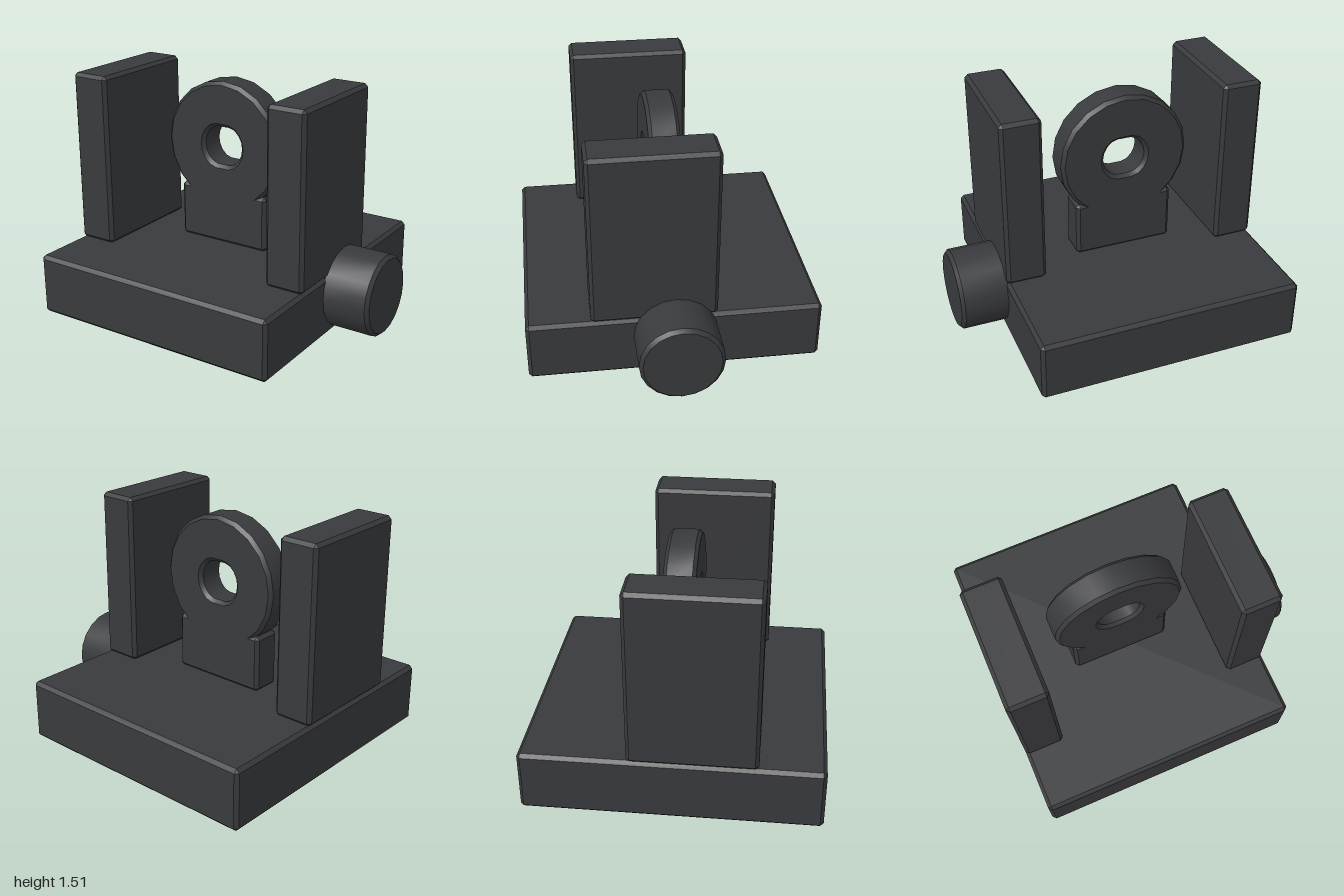
import * as THREE from 'three';
import { toCreasedNormals } from 'three/addons/utils/BufferGeometryUtils.js';
import { ConvexGeometry } from 'three/addons/geometries/ConvexGeometry.js';

const BEVEL = 0.022;
const SIDES = 20;
const material = new THREE.MeshStandardMaterial({ color: 0x393a3d });

// Box with every edge chamfered, given by its min and max corners
function chamferBox(name, min, max) {
  const half = min.map((v, i) => (max[i] - v) / 2);
  const points = [];
  for (const sx of [-1, 1]) for (const sy of [-1, 1]) for (const sz of [-1, 1]) {
    for (let face = 0; face < 3; face++) {
      const p = half.map((h, i) => (i === face ? h : h - BEVEL));
      points.push(new THREE.Vector3(sx * p[0], sy * p[1], sz * p[2]));
    }
  }
  const mesh = new THREE.Mesh(new ConvexGeometry(points), material);
  mesh.name = name;
  mesh.position.set(...min.map((v, i) => (v + max[i]) / 2));
  return mesh;
}

// Points of a polygonal circle, optionally flattened above and below
function circlePoints(radius, flat = radius) {
  return Array.from({ length: SIDES }, (_, i) => {
    const a = (i / SIDES) * Math.PI * 2;
    return new THREE.Vector2(radius * Math.cos(a),
      THREE.MathUtils.clamp(radius * Math.sin(a), -flat, flat));
  });
}

// Disc with chamfered rims, centred on its axis (z)
function chamferDisc(name, radius, thickness, hole) {
  const shape = new THREE.Shape(circlePoints(radius));
  if (hole) shape.holes.push(new THREE.Path(hole));
  const geometry = new THREE.ExtrudeGeometry(shape, {
    depth: thickness - 2 * BEVEL, bevelEnabled: true, bevelSegments: 1,
    bevelSize: BEVEL, bevelThickness: BEVEL, bevelOffset: -BEVEL,
  });
  geometry.translate(0, 0, BEVEL - thickness / 2);
  const mesh = new THREE.Mesh(toCreasedNormals(geometry, 0.55), material);
  mesh.name = name;
  return mesh;
}

export function createModel() {
  const model = new THREE.Group();
  model.name = 'bracket';

  // Base plate
  model.add(chamferBox('basePlate', [-1, 0, -0.915], [0.7, 0.395, 0.915]));

  // Two upright side walls
  model.add(chamferBox('rightWall', [-1, 0.39, -0.26], [-0.74, 1.51, 0.52]));
  model.add(chamferBox('leftWall', [0.44, 0.39, -0.26], [0.7, 1.51, 0.52]));

  // Lug: neck block with a pierced ring on top
  const lug = new THREE.Group();
  lug.name = 'lug';
  lug.add(chamferBox('lugNeck', [-0.475, 0.39, -0.098], [0.175, 0.76, 0.098]));
  const ring = chamferDisc('lugRing', 0.423, 0.196, circlePoints(0.14, 0.126));
  ring.position.set(-0.15, 1.052, 0);
  lug.add(ring);
  model.add(lug);

  // Round knob on the side of the base
  const knob = chamferDisc('sideKnob', 0.261, 0.33);
  knob.rotation.y = Math.PI / 2;
  knob.position.set(0.835, 0.264, 0);
  model.add(knob);

  return model;
}
